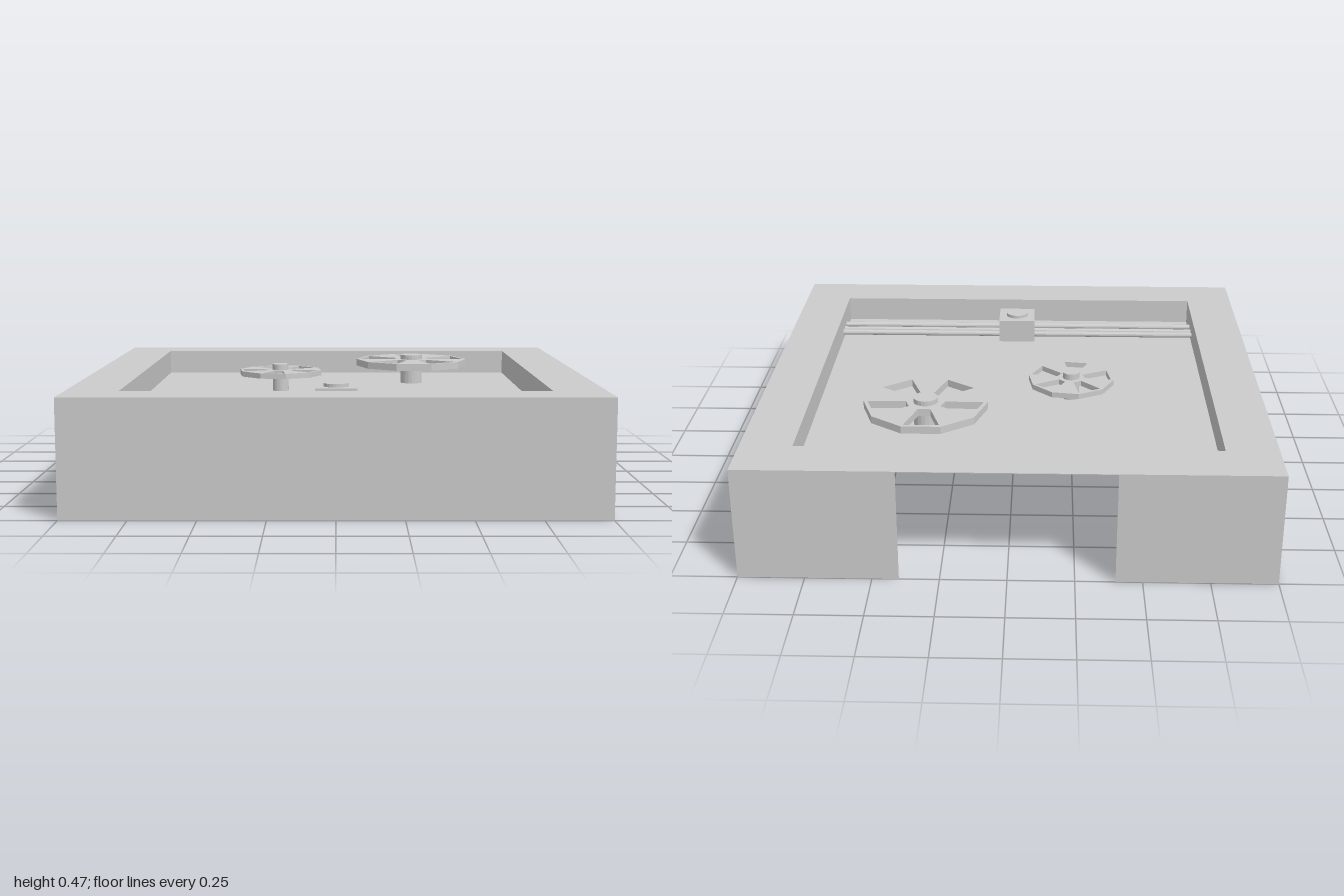
import * as THREE from 'three';

const RIM = 0.445, FLOOR = 0.34, INNER = 0.8, OPENING = 0.4;

export function createModel() {
  const model = new THREE.Group();
  const solid = new THREE.MeshStandardMaterial({ color: 0xcccccc, flatShading: true });
  const sheet = new THREE.MeshStandardMaterial({ color: 0xcccccc, side: THREE.DoubleSide });

  const add = (name, geometry, material, x = 0, y = 0, z = 0, parent = model) => {
    const mesh = new THREE.Mesh(geometry, material);
    mesh.name = name;
    mesh.position.set(x, y, z);
    parent.add(mesh);
    return mesh;
  };
  // Upright thin panel facing the direction given by angle
  const panel = (name, width, y0, y1, x, z, angle) => {
    const mesh = add(name, new THREE.PlaneGeometry(width, y1 - y0), sheet, x, (y0 + y1) / 2, z);
    mesh.rotation.y = angle;
  };
  const square = (Type, h) => new Type([
    new THREE.Vector2(-h, -h), new THREE.Vector2(h, -h), new THREE.Vector2(h, h), new THREE.Vector2(-h, h),
  ]);

  // Thin outer casing, open below, with a wide opening in the back
  panel('frontWall', 2, 0, RIM, 0, 1, 0);
  for (const s of [1, -1]) {
    const side = s > 0 ? 'left' : 'right';
    panel(side + 'Wall', 2, 0, RIM, s, 0, s * Math.PI / 2);
    panel(side + 'BackWall', 1 - OPENING, 0, RIM, s * (1 + OPENING) / 2, -1, Math.PI);
  }

  // Flat rim around the sunken tray
  const rimShape = square(THREE.Shape, 1);
  rimShape.holes.push(square(THREE.Path, INNER));
  add('rim', new THREE.ShapeGeometry(rimShape).rotateX(-Math.PI / 2), sheet, 0, RIM, 0);

  // Tray walls and floor
  for (let i = 0; i < 4; i++) {
    const a = i * Math.PI / 2;
    panel('trayWall', 2 * INNER, FLOOR, RIM, INNER * Math.sin(a), INNER * Math.cos(a), a + Math.PI);
  }
  add('trayFloor', new THREE.PlaneGeometry(2 * INNER, 2 * INNER).rotateX(-Math.PI / 2), sheet, 0, FLOOR, 0);

  // Ten-sided wheel with five wedge openings, held above the floor by its hub
  const wheel = (name, x, z, size, top, hubTop, thickness, turn) => {
    const group = new THREE.Group();
    group.name = name;
    group.position.set(x, 0, z);
    group.rotation.y = turn;
    const shape = new THREE.Shape();
    for (let i = 0; i < 10; i++) {
      const a = (i + 0.5) * Math.PI / 5 + Math.PI / 2;
      shape[i ? 'lineTo' : 'moveTo'](size * Math.cos(a), size * Math.sin(a));
    }
    shape.closePath();
    const wedge = [[-0.1, 0.3], [0.1, 0.3], [0.28, 0.89], [-0.28, 0.89]];
    for (let i = 0; i < 5; i++) {
      const a = i * Math.PI * 2 / 5;
      shape.holes.push(new THREE.Path(wedge.map(([u, v]) =>
        new THREE.Vector2(u * size, v * size).rotateAround(new THREE.Vector2(), a))));
    }
    const disc = new THREE.ExtrudeGeometry(shape, { depth: thickness, bevelEnabled: false });
    add('spokedDisc', disc.rotateX(-Math.PI / 2), solid, 0, top - thickness, 0, group);
    const bottom = FLOOR - 0.002;
    add('hub', new THREE.CylinderGeometry(size * 0.195, size * 0.195, hubTop - bottom, 20),
      solid, 0, (hubTop + bottom) / 2, 0, group);
    model.add(group);
  };
  wheel('largeWheel', 0.34, -0.39, 0.247, 0.447, 0.467, 0.03, 0);
  wheel('smallWheel', -0.24, -0.09, 0.178, 0.43, 0.455, 0.022, THREE.MathUtils.degToRad(27.5));

  // Three rods across the tray
  for (const z of [0.56, 0.6, 0.66]) {
    add('rod', new THREE.CylinderGeometry(0.012, 0.012, 2 * INNER, 12).rotateZ(Math.PI / 2), solid, 0, 0.367, z);
  }

  // Sliding block with a round cap
  const blockTop = 0.44, blockBottom = FLOOR - 0.002;
  add('slidingBlock', new THREE.BoxGeometry(0.16, blockTop - blockBottom, 0.16), solid,
    0, (blockTop + blockBottom) / 2, 0.61);
  add('blockCap', new THREE.CylinderGeometry(0.048, 0.048, 0.02, 24), solid, 0, 0.443, 0.61);

  return model;
}
